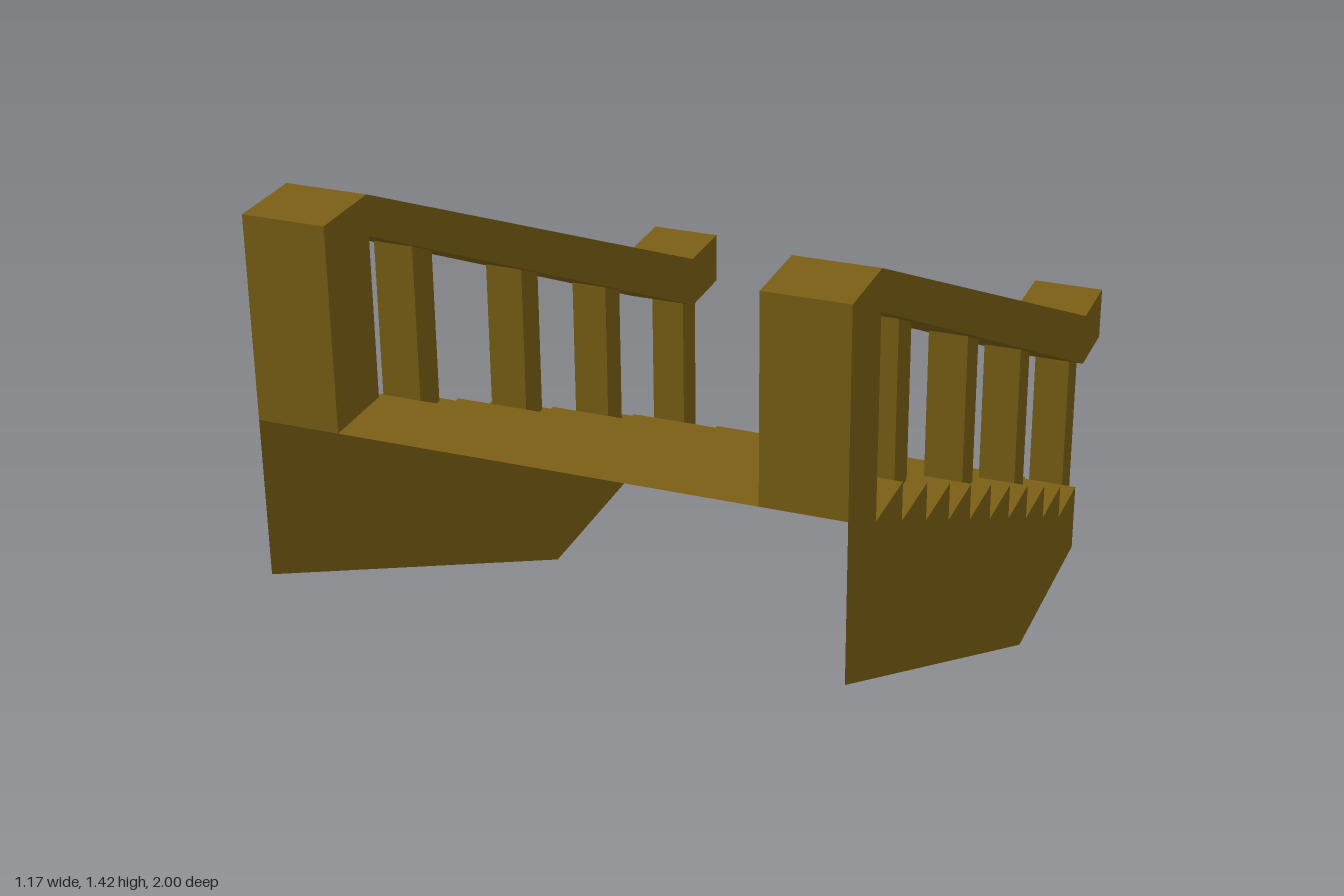
import * as THREE from 'three';

const STEPS = 12, RUN = 1 / 6, RISE = 1 / 12;
const OUTER = 7 / 12, INNER = 5 / 12; // half widths of the flight and of the walkway

export function createModel() {
  const model = new THREE.Group();
  const wood = new THREE.MeshStandardMaterial({ color: 0x7a5f14, side: THREE.DoubleSide, flatShading: true });

  const add = (name, geometry, x = 0, y = 0, z = 0) => {
    const mesh = new THREE.Mesh(geometry, wood);
    mesh.name = name;
    mesh.position.set(x, y, z);
    model.add(mesh);
    return mesh;
  };
  // Side profile given as [z, y] points
  const profile = (points) => new THREE.Shape(points.map(([z, y]) => new THREE.Vector2(z, y)));
  // Profile extruded across x, centred on x = 0
  const bar = (points, width) =>
    new THREE.ExtrudeGeometry(profile(points), { depth: width, bevelEnabled: false })
      .translate(0, 0, -width / 2).rotateY(-Math.PI / 2);
  // Flat sheet in the plane of the side
  const sheet = (points, side) => {
    const geometry = new THREE.ShapeGeometry(profile(points)).rotateY(-Math.PI / 2);
    return side > 0 ? geometry.scale(-1, 1, 1).rotateY(Math.PI).scale(1, 1, -1) : geometry;
  };
  const riser = (width) => new THREE.PlaneGeometry(width, RISE).rotateY(Math.PI);

  // Treads and risers: a thin folded sheet, open underneath and at the high end
  for (let k = 0; k < STEPS; k++) {
    const width = 2 * (k === 0 ? INNER : OUTER);
    const z = -1 + k * RUN;
    add('tread', new THREE.PlaneGeometry(width, RUN).rotateX(-Math.PI / 2), 0, (k + 1) * RISE, z + RUN / 2);
    add('riser', riser(width), 0, (k + 0.5) * RISE, z);
  }

  // Stepped side wall outline with sloping underside
  const wall = [[-1 / 3, 0], [-1 + RUN, 0]];
  for (let k = 1; k < STEPS; k++) {
    wall.push([-1 + k * RUN, (k + 1) * RISE], [-1 + (k + 1) * RUN, (k + 1) * RISE]);
  }
  wall.push([1, 2 / 3]);

  // Handrail with the top newel post in one piece
  const rail = [
    [1, 1], [1, 17 / 12], [5 / 6, 17 / 12], [-5 / 6, 0.625], [-1, 0.625],
    [-1, 0.5], [-5 / 6, 0.5], [5 / 6, 4 / 3], [5 / 6, 1],
  ];
  const railUnderside = (z) => Math.max(0.5, 11 / 12 + z / 2);
  // Balusters: [start z, foot y]
  const balusters = [[0.5, 10 * RISE], [0, 7 * RISE], [-0.458, 4 * RISE], [-0.953, 0]];

  for (const side of [1, -1]) {
    const x = side * 0.5;
    add('sideWall', sheet(wall, side), side * OUTER);
    add('bottomStepSide', sheet([[-1, 0], [-1 + RUN, 0], [-1 + RUN, RISE], [-1, RISE]], side), side * INNER);
    add('bottomStepReturn', riser(OUTER - INNER), x, RISE / 2, -1 + RUN);
    add('handrail', bar(rail, OUTER - INNER), x);
    for (const [z, foot] of balusters) {
      const end = z + RISE;
      add('baluster', bar([[z, foot], [end, foot], [end, railUnderside(end)], [z, railUnderside(z)]], RISE), x);
    }
  }
  return model;
}
